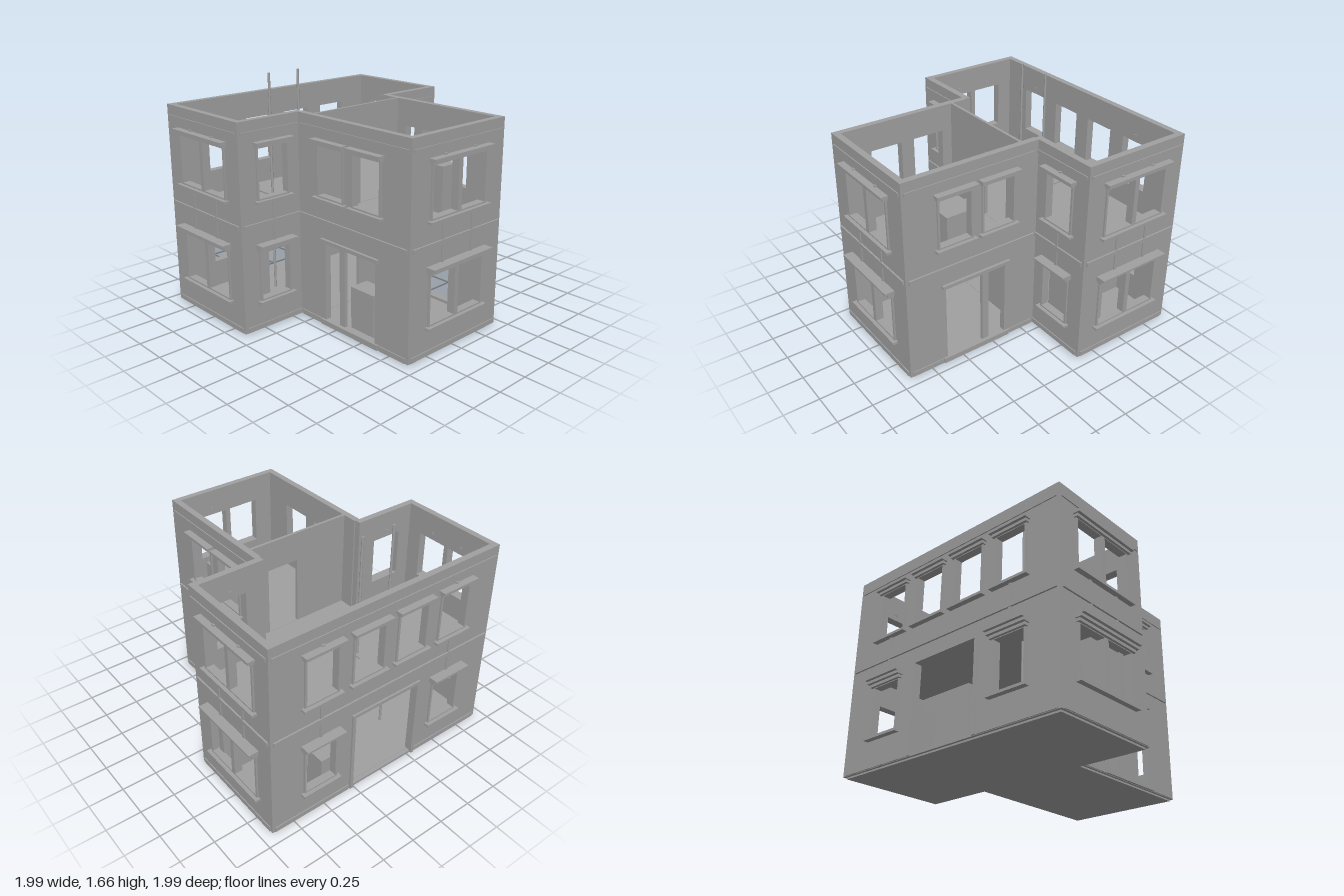
import * as THREE from 'three';

const TOP = 1.47, T = 0.045;

export function createModel() {
  const model = new THREE.Group();
  model.name = 'building';
  const grey = new THREE.MeshStandardMaterial({ color: 0xa0a0a0 });
  grey.name = 'plaster grey';

  // Box given by its minimum and maximum corners
  function block(parent, name, x0, x1, y0, y1, z0, z1) {
    const m = new THREE.Mesh(new THREE.BoxGeometry(x1 - x0, y1 - y0, z1 - z0), grey);
    m.position.set((x0 + x1) / 2, (y0 + y1) / 2, (z0 + z1) / 2);
    m.name = name;
    parent.add(m);
    return m;
  }

  function rect(path, x0, x1, y0, y1) {
    path.moveTo(x0, y0);
    path.lineTo(x1, y0);
    path.lineTo(x1, y1);
    path.lineTo(x0, y1);
    path.closePath();
    return path;
  }

  // Upright panel with rectangular openings; outer face lies at z = 0
  function panel(parent, name, x0, x1, y0, y1, depth, holes) {
    const shape = rect(new THREE.Shape(), x0, x1, y0, y1);
    holes.forEach((h) => shape.holes.push(rect(new THREE.Path(), ...h)));
    const geo = new THREE.ExtrudeGeometry(shape, { depth, bevelEnabled: false });
    geo.translate(0, 0, -depth);
    const m = new THREE.Mesh(geo, grey);
    m.name = name;
    parent.add(m);
    return m;
  }

  // Openings of a window: one pane, or two with a mullion
  function panes(w) {
    const y0 = w.low ? 0.23 : 0.94, y1 = y0 + 0.34;
    return w.wide
      ? [[w.x - 0.25, w.x - 0.018, y0, y1], [w.x + 0.018, w.x + 0.25, y0, y1]]
      : [[w.x - 0.118, w.x + 0.118, y0, y1]];
  }

  // Frame, sill and hood around a window
  function windowTrim(parent, w) {
    const g = new THREE.Group();
    g.name = w.low ? 'lowerWindow' : 'upperWindow';
    parent.add(g);
    const y = w.low ? 0.23 : 0.94, half = w.wide ? 0.25 : 0.118, hw = half + 0.035, x = w.x;
    const holes = panes(w);
    const frame = panel(g, 'frame', x - half - 0.015, x + half + 0.015, y - 0.01, y + 0.355, 0.02, holes);
    frame.position.z = 0.012;
    block(g, 'sill', x - hw, x + hw, y - 0.028, y - 0.01, -0.01, 0.038);
    block(g, 'hoodMoulding', x - half - 0.025, x + half + 0.025, y + 0.345, y + 0.365, -0.01, 0.03);
    block(g, 'hood', x - hw, x + hw, y + 0.365, y + 0.385, -0.01, 0.05);
    if (w.low) block(g, 'hoodCap', x - hw, x + hw, y + 0.385, y + 0.4, -0.01, 0.07);
  }

  // Whole facade: wall, bands, windows, strips and an optional door
  function facade(name, px, pz, turn, len, windows, door, strips) {
    const g = new THREE.Group();
    g.name = name;
    g.position.set(px, 0, pz);
    g.rotation.y = turn;
    model.add(g);
    const h = len / 2, e = h - 0.02;
    const holes = windows.flatMap(panes);
    if (door) holes.push([door.x - door.half, door.x + door.half, door.y0, door.y1]);
    panel(g, 'wall', -h, h, 0.012, TOP, T, holes);
    block(g, 'middleBand', -e, e, 0.75, 0.78, -0.01, 0.012);
    block(g, 'topBand', -e, e, 1.375, 1.4, -0.01, 0.007);
    const spans = door ? [[-e, door.x - door.half - 0.03], [door.x + door.half + 0.03, e]] : [[-e, e]];
    spans.forEach(([a, b]) => block(g, 'baseBand', a, b, 0.015, 0.05, -0.01, 0.007));
    windows.forEach((w) => windowTrim(g, w));
    strips.forEach((x) => {
      block(g, 'verticalStrip', x - 0.01, x + 0.01, 0.62, 0.92, -0.01, 0.008);
      block(g, 'keyBlock', x - 0.01, x + 0.01, 1.32, 1.335, -T - 0.006, 0.012);
    });
    return g;
  }

  const pair = (x, wide) => [{ x, wide }, { x, wide, low: true }];

  // Front of the stem
  facade('frontFacade', 0, 0.925, 0, 0.87, pair(0, true), null, [-0.14, 0.14]);

  // Back with four upper windows, two lower ones and a wide doorway
  const back = facade('backFacade', 0, -0.925, Math.PI, 1.85,
    [...pair(-0.545), ...pair(0.545), { x: -0.18 }, { x: 0.18 }],
    { x: 0, half: 0.27, y0: 0.03, y1: 0.64 }, [-0.545, 0.545]);
  for (const s of [-1, 1]) {
    block(back, 'doorJamb', s * 0.28 - 0.012, s * 0.28 + 0.012, 0.015, 0.645, -T, 0.014);
  }
  block(back, 'doorHead', -0.292, 0.292, 0.635, 0.66, -T, 0.014);

  for (const s of [-1, 1]) {
    const turn = s * Math.PI / 2;
    // Ends of the bar
    facade('endFacade', s * 0.925, -0.515, turn, 0.82, pair(0, true), null, [-0.13, 0.13]);
    // Short front walls beside the stem
    facade('wingFacade', s * 0.6625, -0.105, 0, 0.525, pair(-s * 0.0025), null, [-s * 0.0025]);
    // Sides of the stem with a doorway
    const at = (z) => -s * (z - 0.41);
    const side = facade('stemSide', s * 0.435, 0.41, turn, 1.03,
      [{ x: at(0.215) }, { x: at(0.55) }],
      { x: at(0.393), half: 0.238, y0: 0.05, y1: 0.62 }, []);
    const d = at(0.393), p = at(0.31);
    block(side, 'doorHood', d - 0.27, d + 0.27, 0.62, 0.645, -0.01, 0.02);
    block(side, 'doorStep', d - 0.27, d + 0.27, 0.015, 0.052, -T, 0.015);
    block(side, 'doorPost', p - 0.025, p + 0.025, 0.05, 0.62, -0.035, -0.01);
  }

  // T-shaped slab
  function slab(name, inset, y0, y1) {
    const a = 0.925 - inset, b = 0.435 - inset, c = -0.105 - inset;
    const pts = [[-a, a], [a, a], [a, -c], [b, -c], [b, -a], [-b, -a], [-b, -c], [-a, -c]]
      .map(([x, y]) => new THREE.Vector2(x, y));
    const geo = new THREE.ExtrudeGeometry(new THREE.Shape(pts), { depth: y1 - y0, bevelEnabled: false });
    geo.rotateX(-Math.PI / 2);
    const m = new THREE.Mesh(geo, grey);
    m.position.y = y0;
    m.name = name;
    model.add(m);
  }
  slab('basePlate', 0.018, 0, 0.015);
  slab('groundFloor', 0.03, 0.015, 0.032);
  slab('upperFloor', 0.03, 0.742, 0.765);

  // Partition between stem and bar, one doorway on each storey
  const partition = panel(model, 'partition', -0.4, 0.4, 0.03, TOP, 0.02,
    [[-0.27, 0.0, 0.035, 0.62], [0.02, 0.26, 0.767, 1.26]]);
  partition.position.z = 0.02;

  // Ground-floor walls inside the wings
  block(model, 'innerWall', 0.4, 0.89, 0.03, 0.745, -0.33, -0.28);
  block(model, 'innerWall', -0.89, -0.58, 0.03, 0.745, -0.33, -0.28);

  // Fixed furniture
  block(model, 'upperCounter', 0.25, 0.39, 0.76, 1.1, 0.3, 0.58);
  block(model, 'upperBench', 0.055, 0.265, 0.76, 0.91, -0.882, -0.75);
  block(model, 'lowerCounter', -0.39, -0.245, 0.03, 0.35, 0.36, 0.57);
  block(model, 'lowerBench', 0.27, 0.5, 0.03, 0.35, -0.882, -0.735);

  // Lift platform with two tall poles
  block(model, 'platform', -0.345, -0.03, 0.76, 0.775, -0.835, -0.52);
  for (const x of [-0.318, -0.057]) {
    const pole = new THREE.Mesh(new THREE.CylinderGeometry(0.009, 0.009, 1.635, 12), grey);
    pole.position.set(x, 0.8425, -0.56);
    pole.name = 'pole';
    model.add(pole);
  }

  return model;
}
